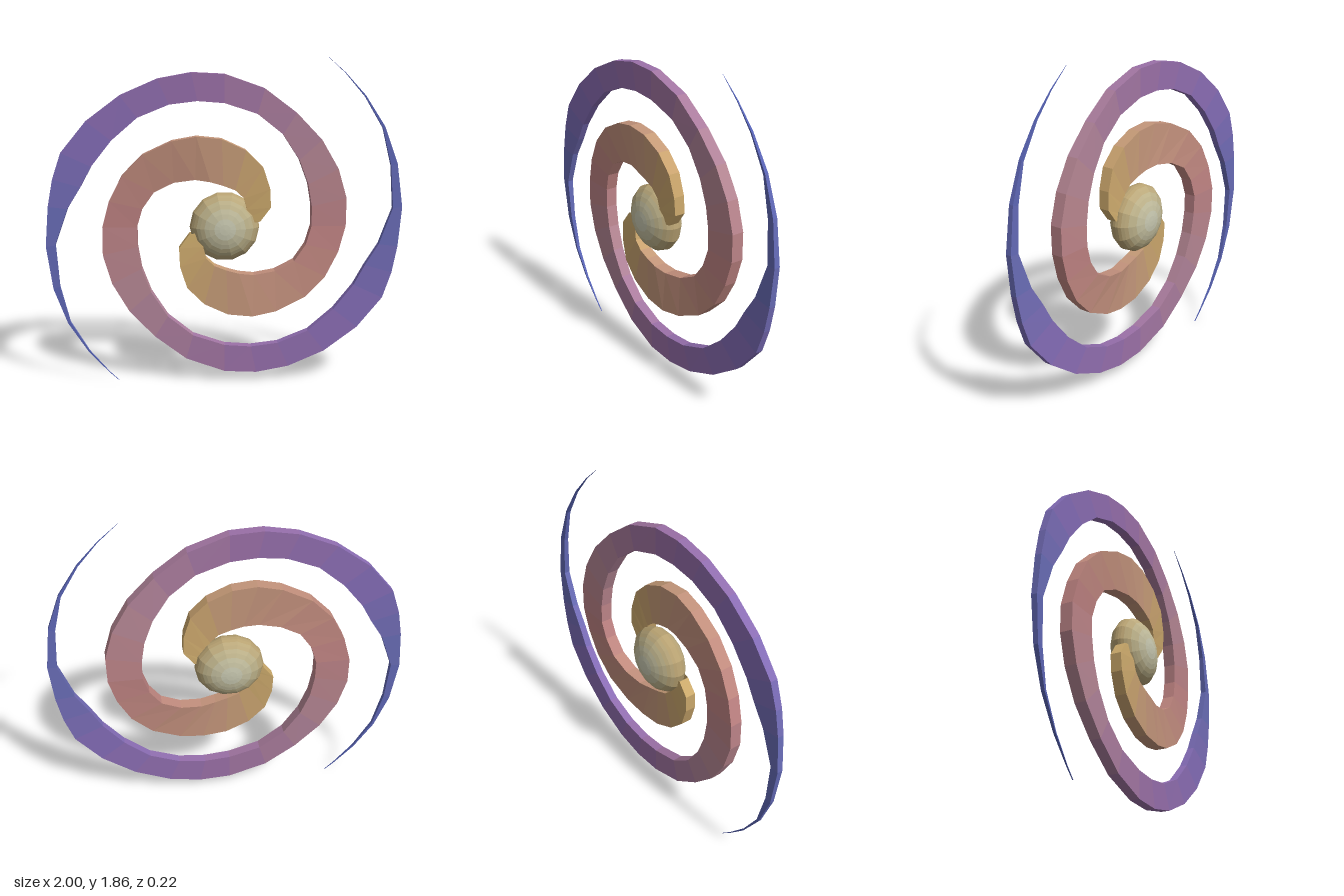
import * as THREE from 'three';

const CENTRE_Y = 0.911;

// Arm outline: [degrees, inner radius, outer radius]
const OUTLINE = [
  [10, 0.1, 0.2], [24, 0.13, 0.28], [41, 0.16, 0.333], [58, 0.2, 0.4], [75, 0.222, 0.45], [92, 0.24, 0.497],
  [107, 0.272, 0.534], [121, 0.317, 0.566], [138, 0.38, 0.61], [153, 0.44, 0.64], [167, 0.47, 0.66],
  [180, 0.49, 0.683], [193, 0.502, 0.702], [207, 0.525, 0.713], [222, 0.56, 0.727], [238, 0.61, 0.75],
  [254, 0.656, 0.8], [270, 0.69, 0.847], [282, 0.717, 0.875], [294, 0.747, 0.9], [308, 0.776, 0.93],
  [322, 0.79, 0.964], [335, 0.812, 0.995], [344, 0.83, 0.99], [353, 0.88, 0.988], [366, 0.953, 1.005],
  [380, 0.99, 1.028], [392, 1.035, 1.05], [403, 1.058, 1.066], [412, 1.078, 1.081], [420, 1.1, 1.1],
];
// Vertical wave and half thickness: [degrees, z offset, half thickness]
const WAVE = [
  [10, 0.02, 0.03], [60, 0.032, 0.034], [105, 0.03, 0.036], [145, -0.005, 0.036], [180, -0.021, 0.035],
  [215, -0.016, 0.034], [270, 0.002, 0.028], [330, -0.004, 0.022], [365, 0, 0.017], [395, 0, 0.009], [420, 0, 0.001],
];
// Colour along the arm: [degrees, r, g, b]
const TINT = [
  [10, 205, 172, 108], [60, 202, 165, 108], [90, 196, 152, 122], [140, 192, 140, 124], [175, 190, 130, 130],
  [220, 180, 135, 150], [250, 168, 122, 158], [280, 152, 110, 168], [325, 134, 108, 182],
  [360, 104, 108, 182], [420, 80, 95, 180],
];

// Linear lookup in a table whose first column is the angle
function lookup(table, a) {
  let i = 0;
  while (i < table.length - 2 && table[i + 1][0] < a) i++;
  const p = table[i], q = table[i + 1];
  const t = THREE.MathUtils.clamp((a - p[0]) / (q[0] - p[0]), 0, 1);
  return p.slice(1).map((v, k) => THREE.MathUtils.lerp(v, q[k + 1], t));
}

// Four corners of the arm's cross-section
function section(a) {
  const [inner, outer] = lookup(OUTLINE, a);
  const [z, h] = lookup(WAVE, a);
  const r = THREE.MathUtils.degToRad(a);
  const at = (d, zz) => [Math.cos(r) * d, Math.sin(r) * d, zz];
  return [at(inner, z - h), at(outer, z - h), at(outer, z + h), at(inner, z + h)];
}

function armSegment(a0, a1) {
  const s0 = section(a0), s1 = section(a1), pos = [];
  for (let k = 0; k < 4; k++) {
    const n = (k + 1) % 4;
    pos.push(...s0[k], ...s1[k], ...s1[n], ...s0[k], ...s1[n], ...s0[n]);
  }
  const geo = new THREE.BufferGeometry();
  geo.setAttribute('position', new THREE.Float32BufferAttribute(pos, 3));
  geo.computeVertexNormals();
  const [r, g, b] = lookup(TINT, (a0 + a1) / 2);
  const color = new THREE.Color().setRGB(r / 255, g / 255, b / 255, THREE.SRGBColorSpace);
  const mesh = new THREE.Mesh(geo, new THREE.MeshStandardMaterial({ color, flatShading: true, side: THREE.DoubleSide }));
  mesh.name = 'armSegment';
  return mesh;
}

function spiralArm(name, turn, end) {
  const arm = new THREE.Group();
  arm.name = name;
  const stops = OUTLINE.map((row) => Math.min(row[0], end));
  for (let i = 0; i < stops.length - 1; i++) arm.add(armSegment(stops[i], stops[i + 1]));
  arm.rotation.z = turn;
  return arm;
}

// Flattened core, built in bands that grow paler towards the front and back poles
function core() {
  const group = new THREE.Group();
  group.name = 'core';
  const rows = 10;
  const colors = [0xc8c8b0, 0xc4bf9f, 0xbfb48c, 0xbba97c, 0xb8a272];
  for (let i = 0; i < rows; i++) {
    const geo = new THREE.SphereGeometry(0.196, 14, 1, 0, Math.PI * 2, (i * Math.PI) / rows, Math.PI / rows);
    geo.rotateX(Math.PI / 2);
    geo.scale(1, 1, 0.55);
    const color = colors[Math.min(i, rows - 1 - i)];
    const band = new THREE.Mesh(geo, new THREE.MeshStandardMaterial({ color, flatShading: true }));
    band.name = 'coreBand';
    group.add(band);
  }
  return group;
}

export function createModel() {
  const model = new THREE.Group();
  model.name = 'spiralGalaxy';
  const disc = new THREE.Group();
  disc.name = 'disc';
  disc.position.y = CENTRE_Y;
  disc.add(core(), spiralArm('upperArm', 0, 420), spiralArm('lowerArm', Math.PI, 416));
  model.add(disc);
  return model;
}
